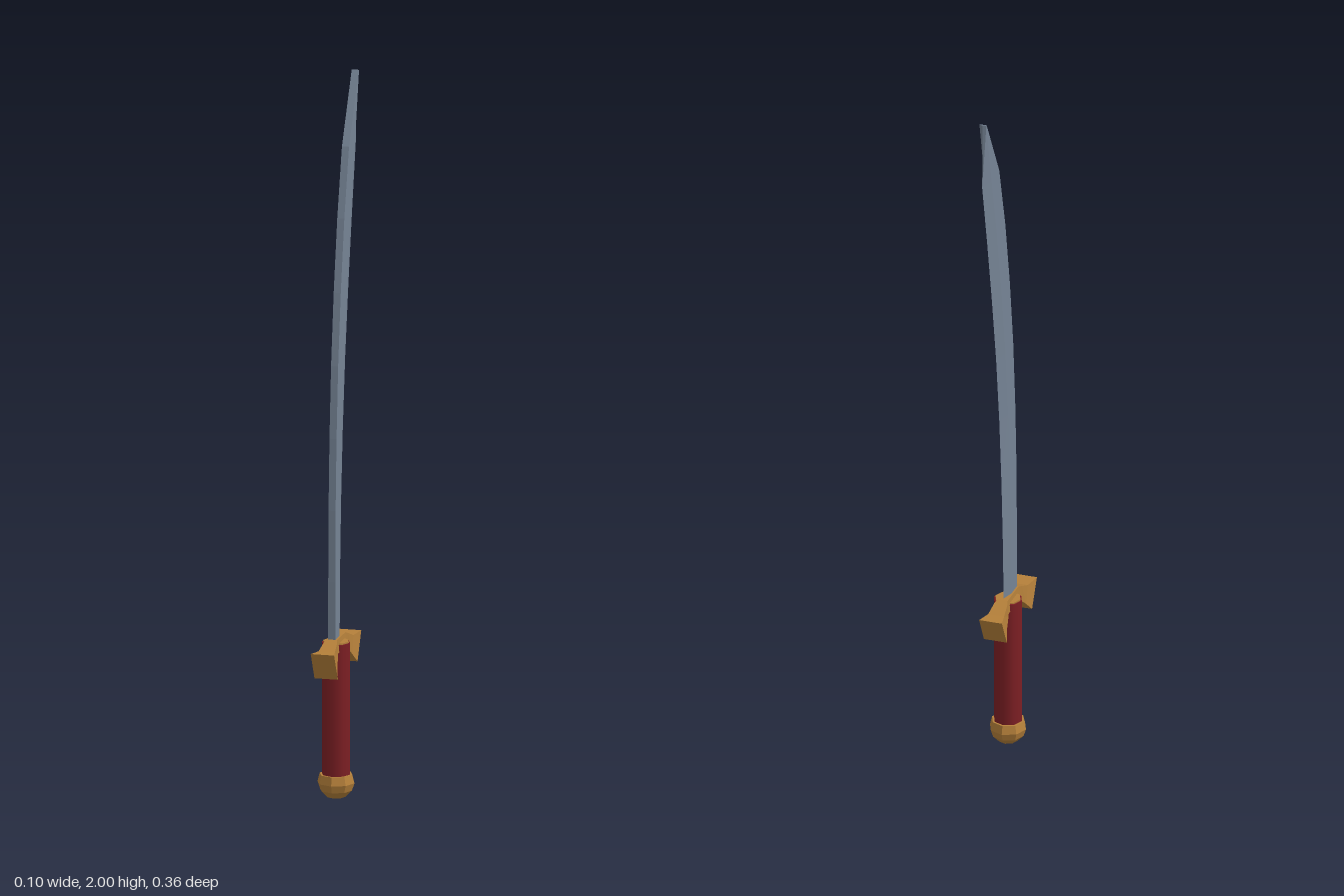
import * as THREE from 'three';

const GRIP_Z = 0.035; // the handle axis sits slightly forward of the centre

const steel = new THREE.MeshStandardMaterial({ color: 0x768495 });
steel.name = 'steel';
const red = new THREE.MeshStandardMaterial({ color: 0x7d1f24 });
red.name = 'redLeather';
const gold = new THREE.MeshStandardMaterial({ color: 0xb5803a });
gold.name = 'gold';

function named(name, geometry, material) {
  const mesh = new THREE.Mesh(geometry, material);
  mesh.name = name;
  return mesh;
}

// Faceted solid through matching rings of [x, y, z] points, closed at both ends.
function loft(rings) {
  const out = [];
  const tri = (...pts) => pts.forEach((p) => out.push(...p));
  const n = rings[0].length;
  for (let s = 0; s < rings.length - 1; s++) {
    const a = rings[s], b = rings[s + 1];
    for (let i = 0; i < n; i++) {
      const j = (i + 1) % n;
      tri(a[i], a[j], b[j]);
      tri(a[i], b[j], b[i]);
    }
  }
  const first = rings[0], last = rings[rings.length - 1];
  for (let i = 1; i < n - 1; i++) {
    tri(first[0], first[i + 1], first[i]);
    tri(last[0], last[i], last[i + 1]);
  }
  const geometry = new THREE.BufferGeometry();
  geometry.setAttribute('position', new THREE.Float32BufferAttribute(out, 3));
  geometry.computeVertexNormals();
  return geometry;
}

// Curved blade: flat spine at the front, bevelled to a sharp edge at the back.
function makeBlade() {
  const t = 0.01;
  const stations = [ // y, spine z, edge z
    [0.44, 0.080, -0.001], [0.62, 0.080, -0.007], [0.82, 0.077, -0.019],
    [1.02, 0.067, -0.037], [1.22, 0.050, -0.063], [1.42, 0.022, -0.098],
    [1.62, -0.016, -0.138], [1.81, -0.066, -0.179], [2.0, -0.170, -0.175],
  ];
  return loft(stations.map(([y, spine, edge]) => {
    const ridge = spine + (edge - spine) * 0.57;
    return [[t, y, spine], [t, y, ridge], [0, y, edge], [-t, y, ridge], [-t, y, spine]];
  }));
}

// Crossguard: narrow in the middle, flaring into drooping square-ended wings.
function makeGuard() {
  const half = [ // top z, top y, top half width, bottom z, bottom y, bottom half width
    [0.045, 0.458, 0.015, 0.045, 0.420, 0.018],
    [0.060, 0.452, 0.019, 0.050, 0.413, 0.019],
    [0.098, 0.437, 0.023, 0.080, 0.388, 0.025],
    [0.145, 0.440, 0.033, 0.105, 0.362, 0.033],
  ];
  const ring = ([tz, ty, tw, bz, by, bw], side) => [
    [bw, by, GRIP_Z + side * bz], [tw, ty, GRIP_Z + side * tz],
    [-tw, ty, GRIP_Z + side * tz], [-bw, by, GRIP_Z + side * bz],
  ];
  return loft([
    ...half.map((s) => ring(s, -1)).reverse(),
    ...half.map((s) => ring(s, 1)),
  ]);
}

// Rounded eight-sided pommel.
function makePommel() {
  const profile = [[0, 0], [0.026, 0.006], [0.045, 0.025], [0.052, 0.046], [0.046, 0.07], [0, 0.07]]
    .map(([r, y]) => new THREE.Vector2(r, y));
  const geometry = new THREE.LatheGeometry(profile, 8).toNonIndexed();
  geometry.computeVertexNormals();
  return geometry;
}

export function createModel() {
  const sword = new THREE.Group();
  sword.name = 'sword';

  const grip = named('grip', new THREE.CylinderGeometry(0.04, 0.04, 0.375, 8), red);
  grip.position.set(0, 0.2525, GRIP_Z);

  // Thin metal plate closing the top of the grip
  const gripCap = named('gripCap', new THREE.CylinderGeometry(0.036, 0.036, 0.006, 8), gold);
  gripCap.position.set(0, 0.441, GRIP_Z);

  const pommel = named('pommel', makePommel(), gold);
  pommel.position.z = GRIP_Z;

  sword.add(
    named('blade', makeBlade(), steel),
    named('crossguard', makeGuard(), gold),
    grip, gripCap, pommel,
  );
  return sword;
}
